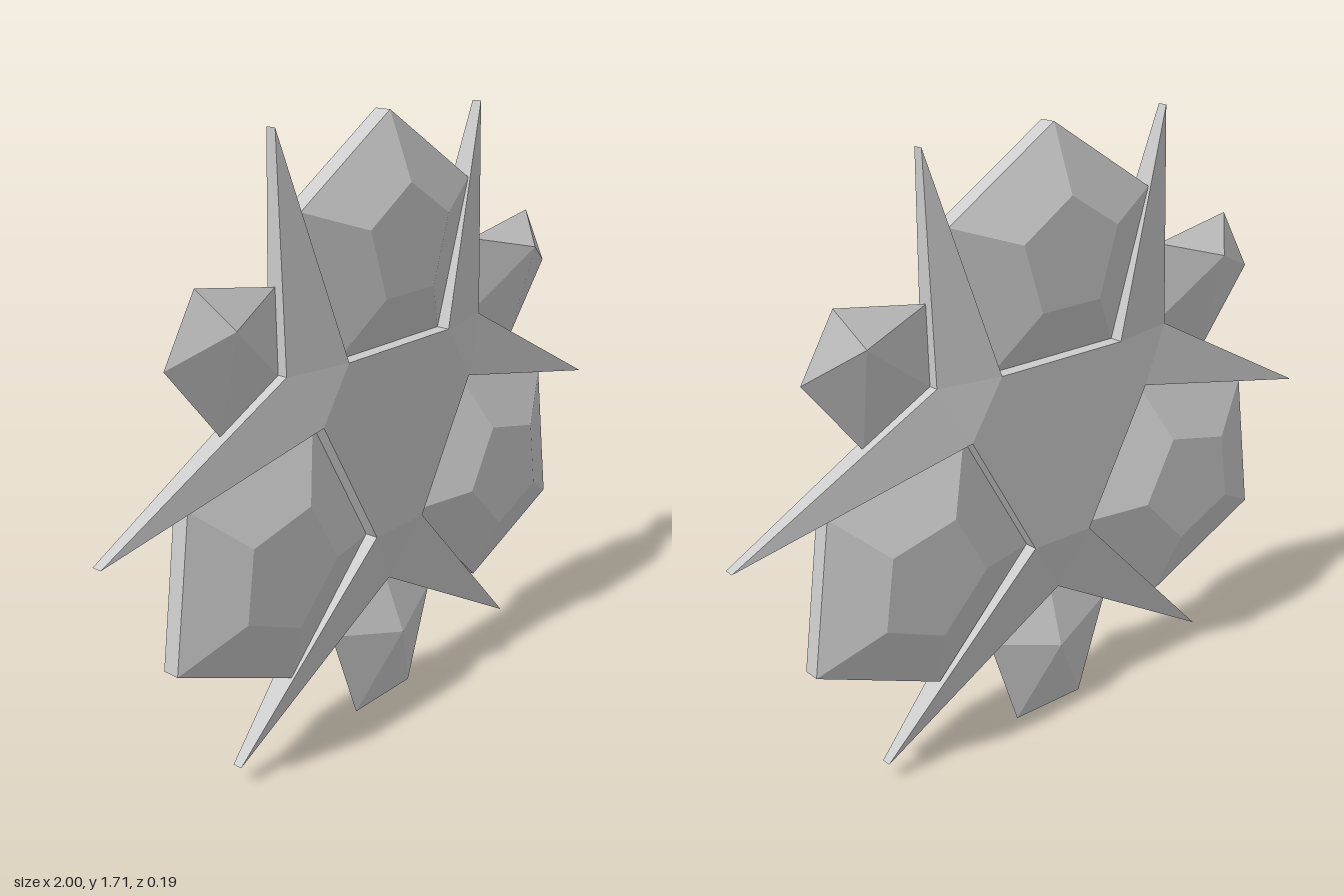
import * as THREE from 'three';

const material = new THREE.MeshStandardMaterial({ color: 0xcccccc, flatShading: true });

// Solid that is symmetric about z = 0: front triangles, their mirrored copies, and a rim wall
function mirroredSolid(name, frontTriangles, rim) {
  const positions = [];
  const add = (...points) => points.forEach((p) => positions.push(...p));
  const flip = ([x, y, z]) => [x, y, -z];
  for (const [a, b, c] of frontTriangles) {
    add(a, b, c);
    add(flip(a), flip(c), flip(b));
  }
  rim.forEach((a, i) => {
    const b = rim[(i + 1) % rim.length];
    if (a[2] === 0 && b[2] === 0) return; // knife edge, no wall
    add(a, flip(a), flip(b));
    add(a, flip(b), b);
  });
  const geometry = new THREE.BufferGeometry();
  geometry.setAttribute('position', new THREE.Float32BufferAttribute(positions, 3));
  geometry.computeVertexNormals();
  const mesh = new THREE.Mesh(geometry, material);
  mesh.name = name;
  return mesh;
}

const fan = (points) => points.slice(2).map((p, i) => [points[0], points[i + 1], p]);

// Central plate: flat hexagon with three pairs of tapering spikes
function spikedPlate() {
  const depths = [0.063, 0.014, 0.032, 0.014, 0.063];
  // each arm pair: hexagon corner, tip, notch, tip, hexagon corner
  const arms = [
    [[-0.2, 1.095], [-0.4, 1.71], [-0.4, 1.1], [-1, 0.79], [-0.3, 0.945]],
    [[-0.09, 0.565], [-0.59, 0.06], [0, 0.4], [0.59, 0.055], [0.11, 0.565]],
    [[0.32, 0.93], [1, 0.765], [0.405, 1.09], [0.415, 1.69], [0.22, 1.09]],
  ].map((arm) => arm.map(([x, y], i) => [x, y, depths[i]]));
  const triangles = fan(arms.flatMap((arm) => [arm[0], arm[4]]));
  for (const [h0, tip0, notch, tip1, h1] of arms) {
    triangles.push([h0, tip0, notch], [h0, notch, h1], [h1, notch, tip1]);
  }
  return mirroredSolid('spikedPlate', triangles, arms.flat());
}

// Large five-sided gem with a bevel rising to a flat pentagon
function largeGem(name, outline) {
  const cx = outline.reduce((s, p) => s + p[0], 0) / outline.length;
  const cy = outline.reduce((s, p) => s + p[1], 0) / outline.length;
  const rim = outline.map(([x, y]) => [x, y, 0.024]);
  const table = outline.map(([x, y]) => [cx + (x - cx) * 0.47, cy + (y - cy) * 0.47, 0.095]);
  const triangles = fan(table);
  rim.forEach((a, i) => {
    const j = (i + 1) % rim.length;
    triangles.push([a, rim[j], table[j]], [a, table[j], table[i]]);
  });
  return mirroredSolid(name, triangles, rim);
}

// Small gem: pointed on both faces, with a sharp edge
function smallGem(name, outline, [ax, ay]) {
  const rim = outline.map(([x, y]) => [x, y, 0]);
  const apex = [ax, ay, 0.068];
  const triangles = rim.map((a, i) => [a, rim[(i + 1) % rim.length], apex]);
  return mirroredSolid(name, triangles, rim);
}

export function createModel() {
  const model = new THREE.Group();
  model.name = 'spikedGemOrnament';
  model.add(
    spikedPlate(),
    largeGem('topLargeGem', [[-0.2, 1.095], [0.22, 1.09], [0.35, 1.49], [0.01, 1.71], [-0.33, 1.5]]),
    largeGem('rightLargeGem', [[-0.09, 0.565], [-0.3, 0.945], [-0.74, 0.85], [-0.8, 0.43], [-0.4, 0.25]]),
    largeGem('leftLargeGem', [[0.11, 0.565], [0.42, 0.25], [0.8, 0.41], [0.74, 0.83], [0.32, 0.93]]),
    smallGem('bottomSmallGem', [[-0.11, 0], [0.13, 0], [0.225, 0.28], [0.01, 0.42], [-0.21, 0.285]], [0.02, 0.23]),
    smallGem('rightSmallGem', [[-0.4, 1.325], [-0.665, 1.375], [-0.77, 1.2], [-0.6, 0.99], [-0.39, 1.09]], [-0.6, 1.27]),
    smallGem('leftSmallGem', [[0.61, 0.97], [0.775, 1.175], [0.675, 1.345], [0.405, 1.305], [0.395, 1.08]], [0.63, 1.25]),
  );
  return model;
}
